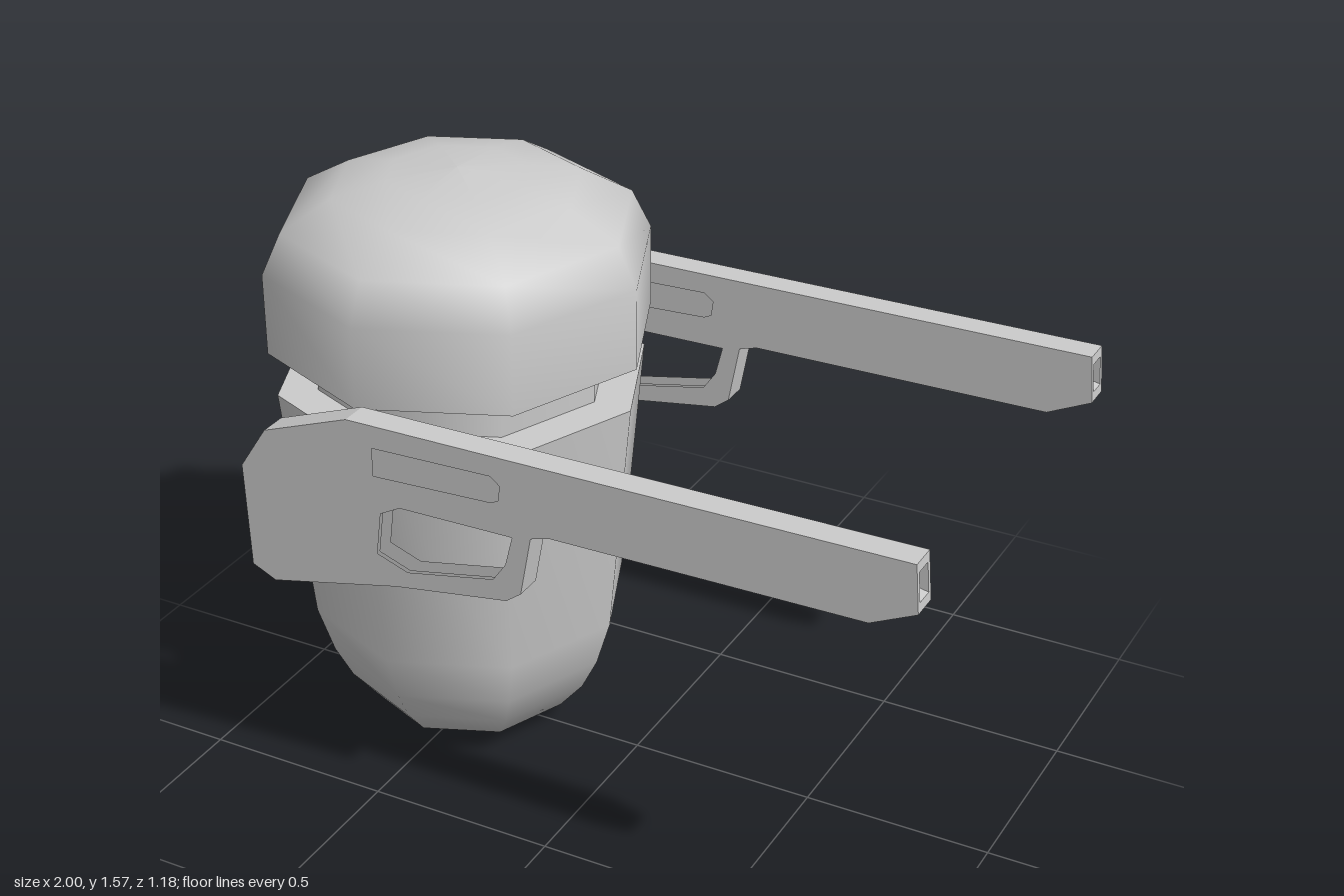
import * as THREE from 'three';

const material = new THREE.MeshStandardMaterial({ color: 0xcccccc });
const points = (list) => list.map(([x, y]) => new THREE.Vector2(x, y));

// Eight-sided turned part, profile listed from bottom to top
function turned(name, profile) {
  const mesh = new THREE.Mesh(new THREE.LatheGeometry(points(profile), 8), material);
  mesh.name = name;
  mesh.position.set(-0.5, 0, 0.003);
  return mesh;
}

// Flat layer with holes, centred on z
function layer(name, outline, holes, thickness, z) {
  const shape = new THREE.Shape(points(outline));
  shape.holes = holes.map((hole) => new THREE.Path(points(hole)));
  const geometry = new THREE.ExtrudeGeometry(shape, { depth: thickness, bevelEnabled: false });
  geometry.translate(0, 0, z - thickness / 2);
  const mesh = new THREE.Mesh(geometry, material);
  mesh.name = name;
  return mesh;
}

const muzzleTop = [0.99, 1.165];
const muzzleBottom = [1.0, 1.04];
const stockAndTop = [
  [-0.04, 0.77], [-0.35, 0.72], [-0.71, 0.635], [-0.775, 0.665],
  [-0.785, 0.945], [-0.71, 1.06], [-0.47, 1.15],
];
const underside = [[0.885, 0.985], [0.08, 0.975], [0.03, 0.96], [0, 0.8]];
const triggerHole = [
  [-0.4, 0.8], [-0.385, 0.915], [-0.33, 0.945], [-0.02, 0.95],
  [-0.04, 0.87], [-0.075, 0.82], [-0.315, 0.77],
];
const sideSlot = [
  [-0.4, 1.09], [-0.075, 1.1], [-0.05, 1.08],
  [-0.055, 1.04], [-0.075, 1.03], [-0.4, 1.015],
];

// Core carries the muzzle bore as a notch; side plates carry the recessed slots
function blaster(name, z) {
  const group = new THREE.Group();
  group.name = name;
  const bore = [[0.992, 1.14], [0.95, 1.13], [0.95, 1.075], [0.998, 1.065]];
  const coreOutline = [...stockAndTop, muzzleTop, ...bore, muzzleBottom, ...underside];
  const plateOutline = [...stockAndTop, muzzleTop, muzzleBottom, ...underside];
  group.add(layer('blasterCore', coreOutline, [triggerHole], 0.048, 0));
  for (const side of [-1, 1]) {
    group.add(layer('blasterSidePlate', plateOutline, [triggerHole, sideSlot], 0.012, side * 0.03));
  }
  group.position.z = z;
  return group;
}

export function createModel() {
  const model = new THREE.Group();
  model.name = 'floatingGunner';

  // Rounded body, its flat rim, and the neck
  model.add(turned('body', [
    [0, 0], [0.14, 0.02], [0.268, 0.06], [0.335, 0.14], [0.38, 0.23], [0.42, 0.36], [0.483, 1.01],
  ]));
  model.add(turned('bodyRim', [[0.483, 1.01], [0.37, 1.01]]));
  model.add(turned('neck', [[0.38, 1.0], [0.38, 1.14]]));

  // Domed head with a flat underside
  model.add(turned('headUnderside', [[0, 1.13], [0.5, 1.13]]));
  model.add(turned('head', [
    [0.5, 1.13], [0.5, 1.345], [0.45, 1.45], [0.32, 1.525], [0.18, 1.555], [0, 1.57],
  ]));

  // One blaster on each side
  model.add(blaster('frontBlaster', 0.552));
  model.add(blaster('backBlaster', -0.555));
  return model;
}
